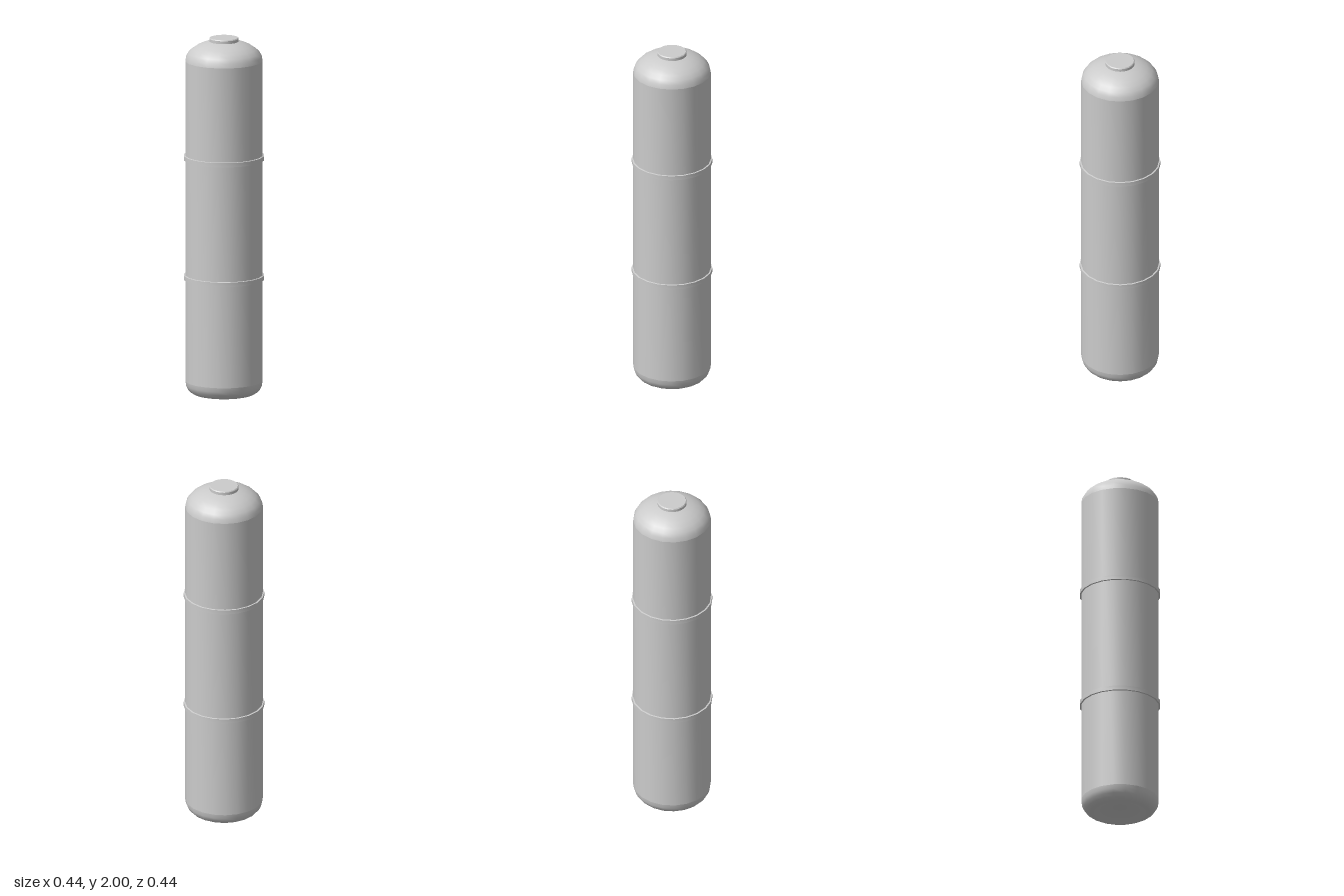
import * as THREE from 'three';
import { toCreasedNormals } from 'three/addons/utils/BufferGeometryUtils.js';

const SIDES = 20;
const RADIUS = 0.214;
const material = new THREE.MeshStandardMaterial({ color: 0xcccccc });

// Revolves a bottom-to-top [radius, height] profile around the y axis
function turned(name, profile) {
  const points = profile.map(([r, y]) => new THREE.Vector2(r, y));
  const geometry = toCreasedNormals(new THREE.LatheGeometry(points, SIDES), 0.6);
  const mesh = new THREE.Mesh(geometry, material);
  mesh.name = name;
  return mesh;
}

export function createModel() {
  const model = new THREE.Group();
  model.name = 'cylinderTank';

  // Straight wall
  model.add(turned('wall', [[RADIUS, 0.075], [RADIUS, 1.87]]));

  // Domed shoulder, a quarter ellipse closing under the cap
  const dome = [];
  for (let i = 0; i <= 8; i++) {
    const a = (i / 8) * Math.PI * 0.5;
    dome.push([Math.max(0, RADIUS * Math.cos(a)), 1.87 + 0.118 * Math.sin(a)]);
  }
  model.add(turned('shoulder', dome));

  // Rounded foot and the shallow dish beneath it
  const foot = [];
  for (let i = 0; i <= 5; i++) {
    const a = (i / 5) * Math.PI * 0.5;
    foot.push([0.145 + (RADIUS - 0.145) * Math.sin(a), 0.075 * (1 - Math.cos(a))]);
  }
  model.add(turned('foot', foot));
  model.add(turned('baseDish', [[0, 0.035], [0.05, 0.032], [0.1, 0.02], [0.145, 0]]));

  // Raised bands at one third and two thirds of the height
  for (const [name, y] of [['lowerBand', 0.657], ['upperBand', 1.328]]) {
    model.add(turned(name, [
      [RADIUS - 0.004, y - 0.014], [0.222, y - 0.012],
      [0.222, y + 0.012], [RADIUS - 0.004, y + 0.014],
    ]));
  }

  // Flat round cap
  model.add(turned('cap', [[0.081, 1.975], [0.081, 1.995], [0.077, 2], [0, 2]]));

  return model;
}
